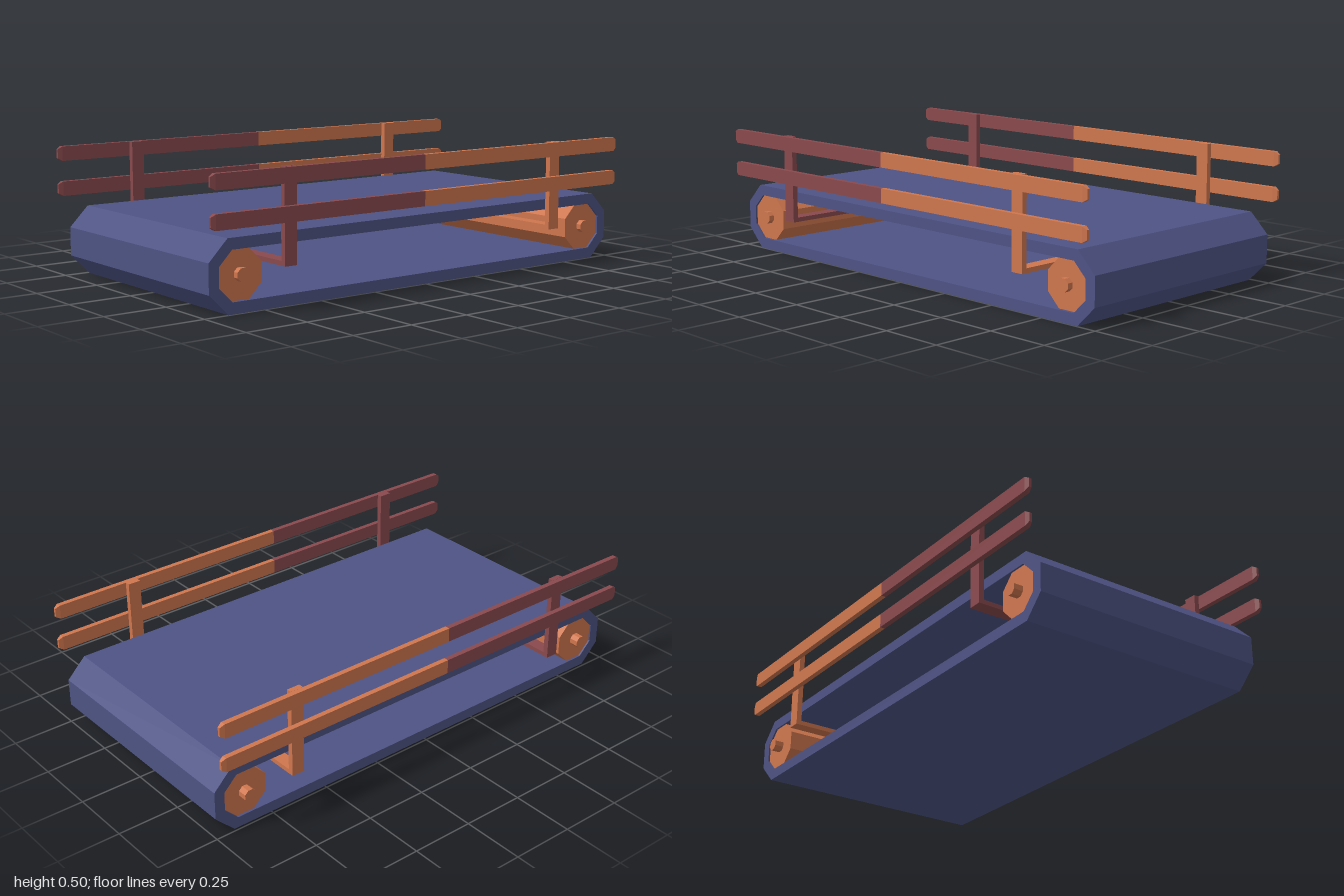
import * as THREE from 'three';

export function createModel() {
  const model = new THREE.Group();
  model.name = 'conveyor';
  const mat = (name, color, side = THREE.FrontSide) => {
    const m = new THREE.MeshStandardMaterial({ color, side });
    m.name = name;
    return m;
  };
  const blue = mat('beltBlue', 0x4e5384);
  const orange = mat('frameOrange', 0xcf764e);
  const maroon = mat('frameMaroon', 0x8a4a4e);

  const add = (name, geometry, material, x, y, z) => {
    const mesh = new THREE.Mesh(geometry, material);
    mesh.name = name;
    mesh.position.set(x, y, z);
    model.add(mesh);
    return mesh;
  };

  // Belt: stretched octagonal loop, extruded across the width
  const loop = (front, back, y0, y1, cut) => [
    [front - cut, y0], [front, y0 + cut], [front, y1 - cut], [front - cut, y1],
    [back + cut, y1], [back, y1 - cut], [back, y0 + cut], [back + cut, y0],
  ].map(([z, y]) => new THREE.Vector2(z, y));
  const beltShape = new THREE.Shape(loop(0.98, -0.995, 0, 0.27, 0.079));
  beltShape.holes.push(new THREE.Path(loop(0.938, -0.953, 0.043, 0.228, 0.055).reverse()));
  const belt = new THREE.ExtrudeGeometry(beltShape, { depth: 0.987, bevelEnabled: false });
  belt.rotateY(-Math.PI / 2);
  add('belt', belt, blue, 0.498, 0, 0);

  // Eight-sided rollers and their axles
  const bar = (radius, length) => {
    const g = new THREE.CylinderGeometry(radius, radius, length, 8).toNonIndexed();
    g.rotateY(Math.PI / 8);
    g.rotateZ(Math.PI / 2);
    g.computeVertexNormals();
    return g;
  };
  for (const [end, z] of [['front', 0.847], ['back', -0.861]]) {
    add(end + 'Roller', bar(0.0995, 0.972), orange, 0.004, 0.137, z);
    add(end + 'Axle', bar(0.026, 1.032), orange, -0.003, 0.138, z);
  }

  // Crossbars running through the belt, with an upright at each side
  for (const [end, z, m] of [['front', 0.656, maroon], ['back', -0.657, orange]]) {
    add(end + 'Crossbar', new THREE.BoxGeometry(1.03, 0.018, 0.053), m, -0.001, 0.159, z);
    for (const side of [1, -1]) {
      add(end + 'Post', new THREE.BoxGeometry(0.022, 0.355, 0.053), m, side * 0.521 - 0.001, 0.3275, z);
    }
  }

  // Half a rail, its outer end (dir * z) bevelled
  const halfRail = (length, dir) => {
    const g = new THREE.BoxGeometry(0.021, 0.057, length, 1, 1, 2).toNonIndexed();
    const p = g.attributes.position;
    for (let i = 0; i < p.count; i++) {
      const z = p.getZ(i) * dir;
      if (z > length / 4) {
        p.setX(i, p.getX(i) * 0.5);
        p.setY(i, p.getY(i) * 0.62);
      } else if (z > -length / 4) {
        p.setZ(i, dir * (length / 2 - 0.018));
      }
    }
    g.computeVertexNormals();
    return g;
  };
  const frontHalf = halfRail(0.95, 1);
  const backHalf = halfRail(1.05, -1);
  for (const side of [1, -1]) {
    for (const y of [0.338, 0.476]) {
      add('frontRail', frontHalf, maroon, side * 0.542 - 0.001, y, 0.525);
      add('backRail', backHalf, orange, side * 0.542 - 0.001, y, -0.475);
    }
  }
  return model;
}
